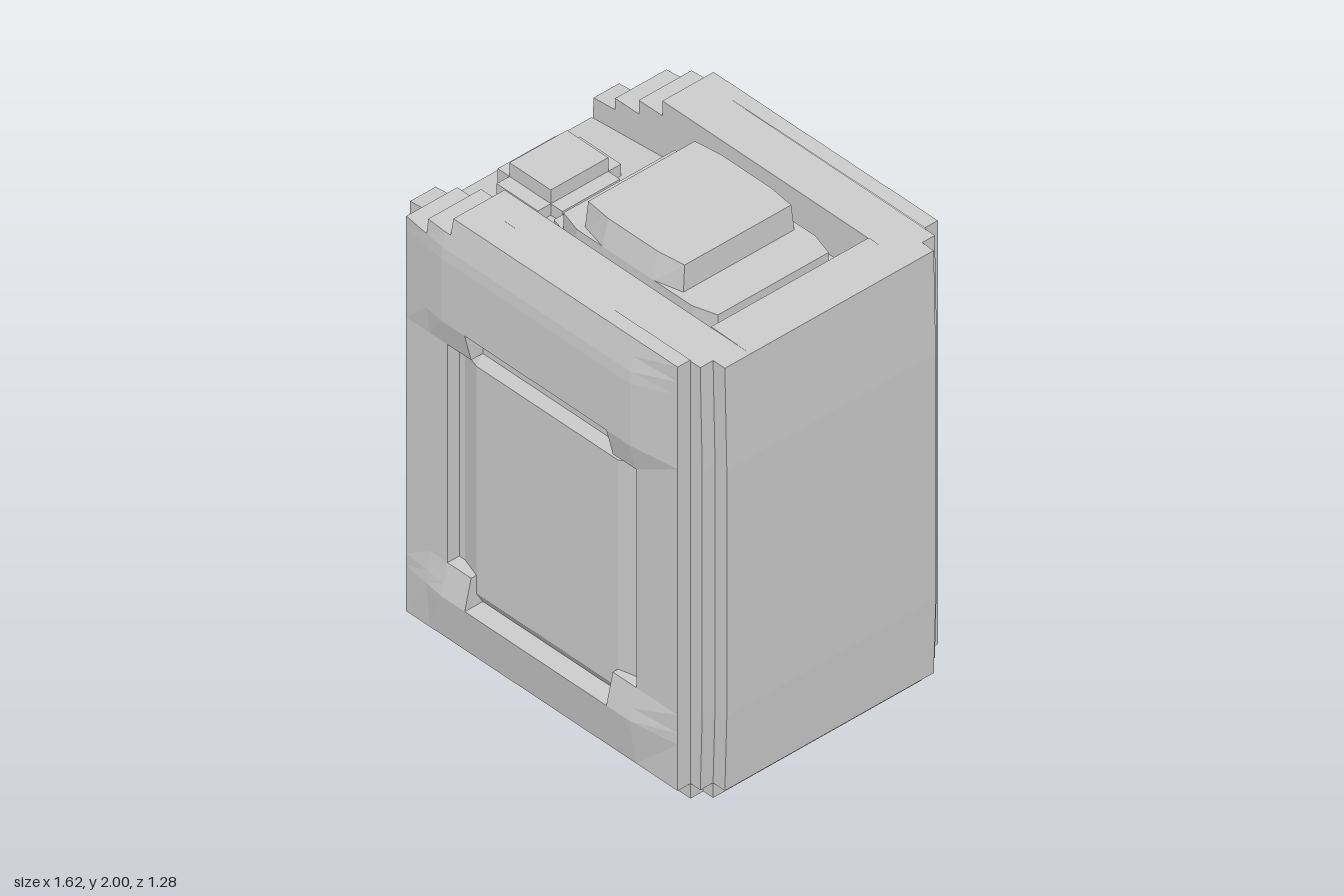
import * as THREE from 'three';

const material = new THREE.MeshStandardMaterial({ color: 0xcccccc, flatShading: true });

function add(group, name, geometry) {
  const mesh = new THREE.Mesh(geometry, material);
  mesh.name = name;
  group.add(mesh);
  return mesh;
}

// Flat-sided geometry from a list of quads
function fromQuads(quads) {
  const pos = [];
  for (const [a, b, c, d] of quads) pos.push(...a, ...b, ...c, ...a, ...c, ...d);
  const g = new THREE.BufferGeometry();
  g.setAttribute('position', new THREE.Float32BufferAttribute(pos, 3));
  g.computeVertexNormals();
  return g;
}

// Convex block between a lower and an upper plan of [x, z] points
function loft(low, high, y0, y1) {
  const a = low.map(([x, z]) => [x, y0, z]);
  const b = high.map(([x, z]) => [x, y1, z]);
  const n = a.length, quads = [];
  for (let i = 0; i < n; i++) {
    const j = (i + 1) % n;
    quads.push([a[i], a[j], b[j], b[i]]);
  }
  for (let i = 1; i < n - 1; i++) {
    quads.push([b[0], b[i], b[i + 1], b[0]], [a[0], a[i + 1], a[i], a[0]]);
  }
  return fromQuads(quads);
}

const rect = (x0, x1, z) => [[x0, z], [x1, z], [x1, -z], [x0, -z]];
// Rectangle whose long sides swell slightly outwards
const swollen = (x0, x1, z, c, s) => [
  [x0, z], [x0 + c, z + s], [x1 - c, z + s], [x1, z],
  [x1, -z], [x1 - c, -z - s], [x0 + c, -z - s], [x0, -z]];

// Slab of the tank: an x-y outline extruded from z0 to z1
function slab(points, z0, z1) {
  const shape = new THREE.Shape(points.map(p => new THREE.Vector2(...p)));
  const g = new THREE.ExtrudeGeometry(shape, { depth: z1 - z0, bevelEnabled: false });
  return g.translate(0, 0, z0);
}

// Outline with the stepped shoulder, for a half width w
const railOutline = w => [
  [-w + 0.01, 0.1], [w - 0.01, 0.1], [w, 0.43], [w, 1.5], [w - 0.01, 1.94], [-0.45, 1.945],
  [-0.45, 1.88], [-0.57, 1.88], [-0.57, 1.82], [-0.69, 1.82], [-0.69, 1.77],
  [-w + 0.01, 1.76], [-w, 1.5], [-w, 0.43]];

// Outline through the sunken top tray
const trayOutline = [
  [-0.8, 0.1], [0.8, 0.1], [0.81, 0.43], [0.81, 1.5], [0.8, 1.94], [0.6, 1.945],
  [0.6, 1.77], [-0.35, 1.71], [-0.81, 1.67], [-0.81, 0.43]];

// Front or back face: a swelling frame around a recessed panel
const xs = [-0.69, -0.57, -0.48, -0.45, -0.36, 0.36, 0.48, 0.69];
const ys = [0.1, 0.3, 0.35, 0.43, 1.34, 1.38, 1.5, 1.77, 1.82, 1.88, 1.945];
const swellKeys = [[0.1, 0], [0.3, 1], [0.43, 0], [1.38, 0], [1.5, 1], [1.8, 1], [1.945, 0]];

function swell(y) {
  for (let i = 1; i < swellKeys.length; i++) {
    const [y0, v0] = swellKeys[i - 1], [y1, v1] = swellKeys[i];
    if (y <= y1) return v0 + (v1 - v0) * (y - y0) / (y1 - y0);
  }
  return 0;
}

function cellKind(i, j) {
  if (i < 0 || j < 0 || i >= xs.length - 1 || j >= ys.length - 1) return 'none';
  const x = (xs[i] + xs[i + 1]) / 2, y = (ys[j] + ys[j + 1]) / 2, ax = Math.abs(x);
  if ((x < -0.57 && y > 1.82) || (x < -0.45 && y > 1.88)) return 'none';
  if ((ax < 0.48 && y > 0.43 && y < 1.38) || (ax < 0.36 && y > 0.3 && y < 1.5)) return 'panel';
  return 'frame';
}

function level(kind, x, y) {
  const ax = Math.abs(x);
  if (kind === 'none') return 0.55;
  if (kind === 'panel') return ax < 0.37 && y > 0.34 && y < 1.35 ? 0.585 : 0.555;
  return 0.61 + 0.03 * Math.min(1, (0.69 - ax) / 0.21) * swell(y);
}

function faceGeometry(side) {
  const quads = [];
  const push = q => {
    const pts = q.map(([x, y, z]) => [x, y, z * side]);
    quads.push(side > 0 ? pts : pts.reverse());
  };
  const next = [[0, -1], [1, 0], [0, 1], [-1, 0]];
  for (let i = 0; i < xs.length - 1; i++) for (let j = 0; j < ys.length - 1; j++) {
    const kind = cellKind(i, j);
    if (kind === 'none') continue;
    const c = [[xs[i], ys[j]], [xs[i + 1], ys[j]], [xs[i + 1], ys[j + 1]], [xs[i], ys[j + 1]]];
    push(c.map(([x, y]) => [x, y, level(kind, x, y)]));
    // Walls down to lower neighbours
    next.forEach(([di, dj], k) => {
      const other = cellKind(i + di, j + dj);
      if (other === kind || kind === 'panel' && other === 'frame') return;
      const a = c[k], b = c[(k + 1) % 4];
      push([[...a, level(other, ...a)], [...b, level(other, ...b)],
        [...b, level(kind, ...b)], [...a, level(kind, ...a)]]);
    });
  }
  return fromQuads(quads);
}

export function createModel() {
  const model = new THREE.Group();
  model.name = 'canister';

  // Tank, with stepped vertical corners
  add(model, 'tankCore', slab(trayOutline, -0.37, 0.37));
  for (const side of [1, -1]) {
    const end = side > 0 ? 'front' : 'back';
    const layer = (w, z0, z1) =>
      slab(railOutline(w), side > 0 ? z0 : -z1, side > 0 ? z1 : -z0);
    add(model, end + 'Rail', layer(0.81, 0.37, 0.49));
    add(model, end + 'CornerStep', layer(0.75, 0.49, 0.55));
    add(model, end + 'Face', faceGeometry(side));
  }

  // Base, stepped in and tapering to the ground
  add(model, 'baseWide', loft(rect(-0.74, 0.74, 0.49), rect(-0.74, 0.74, 0.49), 0.035, 0.1));
  add(model, 'baseDeep', loft(rect(-0.69, 0.69, 0.55), rect(-0.69, 0.69, 0.55), 0.035, 0.1));
  add(model, 'foot', loft(rect(-0.48, 0.48, 0.47), rect(-0.69, 0.69, 0.545), 0, 0.035));

  // Stepped handle block in the tray
  const handle = new THREE.Group();
  handle.name = 'handle';
  model.add(handle);
  const lower = swollen(-0.33, 0.515, 0.25, 0.12, 0.03);
  const middle = swollen(-0.27, 0.515, 0.26, 0.1, 0.03);
  add(handle, 'handleLower', loft(lower, lower, 1.65, 1.82));
  add(handle, 'handleMiddle', loft(middle, middle, 1.82, 1.89));
  add(handle, 'handleTop', loft(swollen(-0.16, 0.34, 0.26, 0.12, 0.03),
    swollen(-0.155, 0.335, 0.25, 0.12, 0.015), 1.89, 2));

  // Cross-shaped cap with a raised middle
  const cap = new THREE.Group();
  cap.name = 'cap';
  model.add(cap);
  const box = (name, x0, x1, z, y1) =>
    add(cap, name, loft(rect(x0, x1, z), rect(x0, x1, z), 1.64, y1));
  box('capWide', -0.74, -0.41, 0.135, 1.75);
  box('capDeep', -0.68, -0.47, 0.195, 1.75);
  box('capTop', -0.68, -0.47, 0.135, 1.81);

  return model;
}
